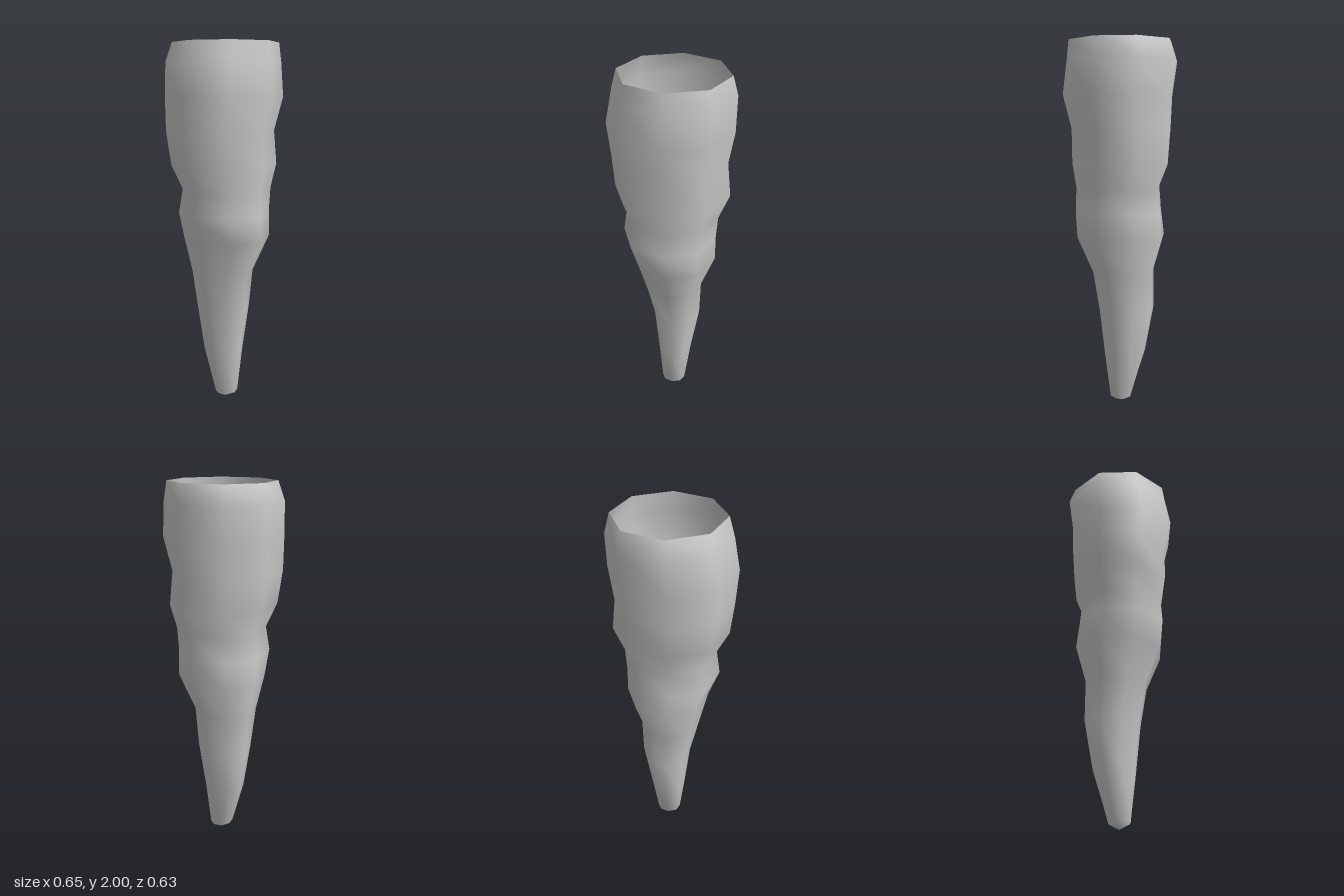
import * as THREE from 'three';

const SIDES = 8;

// Cross-sections from the open rim down: [y, left x, right x, back z, front z]
const RINGS = [
  [2.0, -0.265, 0.3, -0.28, 0.285],
  [1.9, -0.295, 0.326, -0.315, 0.295],
  [1.72, -0.328, 0.325, -0.295, 0.315],
  [1.54, -0.315, 0.295, -0.29, 0.268],
  [1.36, -0.297, 0.315, -0.27, 0.27],
  [1.23, -0.235, 0.26, -0.22, 0.25],
  [1.1, -0.255, 0.25, -0.235, 0.252],
  [0.96, -0.2, 0.25, -0.245, 0.25],
  [0.76, -0.152, 0.175, -0.19, 0.16],
  [0.55, -0.103, 0.168, -0.185, 0.13],
  [0.29, -0.075, 0.125, -0.138, 0.098],
  [0.035, -0.045, 0.09, -0.053, 0.065],
];

// Uneven tapering shell: off-centre eight-sided rings closed by a blunt tip
function spikeGeometry() {
  const positions = [];
  const index = [];
  for (const [y, left, right, back, front] of RINGS) {
    for (let j = 0; j < SIDES; j++) {
      const t = (j / SIDES) * Math.PI * 2;
      positions.push(
        (left + right) / 2 + (Math.cos(t) * (right - left)) / 2,
        y,
        (back + front) / 2 + (Math.sin(t) * (front - back)) / 2
      );
    }
  }
  const tip = RINGS.length * SIDES;
  positions.push(0.015, 0, 0);

  for (let i = 0; i < RINGS.length; i++) {
    for (let j = 0; j < SIDES; j++) {
      const a = i * SIDES + j;
      const b = i * SIDES + ((j + 1) % SIDES);
      if (i === RINGS.length - 1) index.push(a, b, tip);
      else index.push(a, b, a + SIDES, b, b + SIDES, a + SIDES);
    }
  }
  const geometry = new THREE.BufferGeometry();
  geometry.setAttribute('position', new THREE.Float32BufferAttribute(positions, 3));
  geometry.setIndex(index);
  geometry.computeVertexNormals();
  return geometry;
}

export function createModel() {
  const group = new THREE.Group();
  group.name = 'stalactite';
  const stone = new THREE.MeshStandardMaterial({ color: 0xcccccc, side: THREE.DoubleSide });
  const spike = new THREE.Mesh(spikeGeometry(), stone);
  spike.name = 'rockSpike';
  group.add(spike);
  return group;
}
